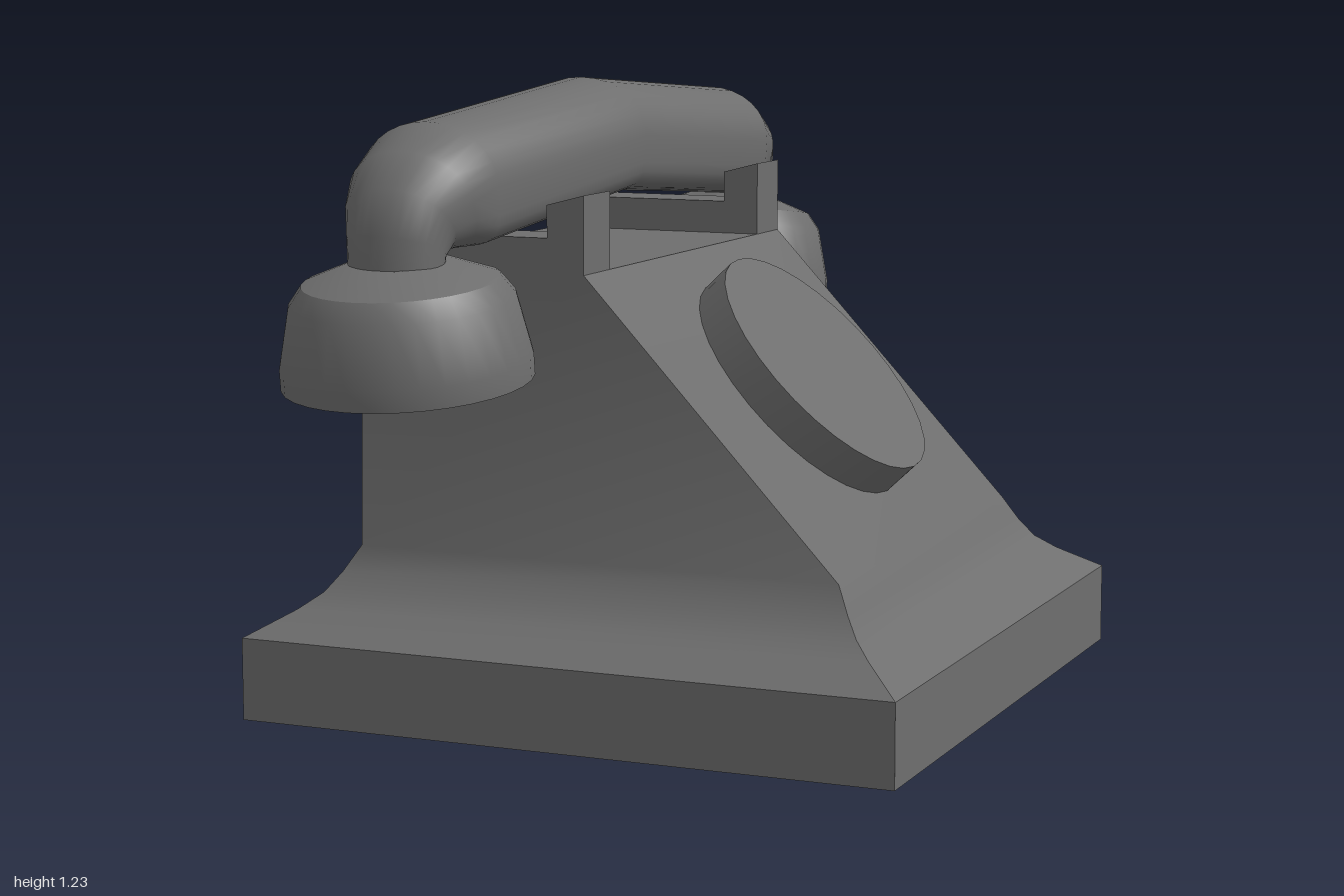
import * as THREE from 'three';
import { toCreasedNormals } from 'three/addons/utils/BufferGeometryUtils.js';

const HANDSET_X = -0.252;
const material = new THREE.MeshStandardMaterial({ color: 0x6e6e6e });

function part(name, geometry, crease = 0.6) {
  const mesh = new THREE.Mesh(toCreasedNormals(geometry, crease), material);
  mesh.name = name;
  return mesh;
}

// Skin a list of equal-length rings ([x, y, z] points) and close both ends.
function loft(rings) {
  const n = rings[0].length;
  const index = [];
  for (let i = 0; i < rings.length - 1; i++) {
    for (let j = 0; j < n; j++) {
      const k = (j + 1) % n;
      const a = i * n + j, b = i * n + k, c = a + n, d = b + n;
      index.push(a, b, d, a, d, c);
    }
  }
  const last = (rings.length - 1) * n;
  for (let j = 1; j < n - 1; j++) {
    index.push(0, j + 1, j, last, last + j, last + j + 1);
  }
  const geometry = new THREE.BufferGeometry();
  geometry.setAttribute('position', new THREE.Float32BufferAttribute(rings.flat(2), 3));
  geometry.setIndex(index);
  return geometry;
}

// Rectangular plinth, concave flare and wedge-shaped housing
function createHousing() {
  const levels = [ // y, min x, max x, half depth
    [0, -0.673, 0.673, 0.673],
    [0.163, -0.673, 0.673, 0.673],
    [0.212, -0.593, 0.593, 0.593],
    [0.242, -0.555, 0.555, 0.555],
    [0.28, -0.528, 0.528, 0.528],
    [0.33, -0.5, 0.5, 0.5],
    [0.883, -0.49, -0.017, 0.5],
  ];
  return part('housing', loft(levels.map(([y, x0, x1, z]) =>
    [[x1, y, z], [x1, y, -z], [x0, y, -z], [x0, y, z]])));
}

// Notched rest across the top of the housing
function createCradle(z) {
  const outline = [
    [-0.49, 0.86], [-0.017, 0.86], [-0.016, 1.034], [-0.093, 1.014],
    [-0.093, 0.951], [-0.41, 0.951], [-0.41, 1.014], [-0.488, 1.034],
  ];
  const shape = new THREE.Shape(outline.map(([x, y]) => new THREE.Vector2(x, y)));
  const mesh = part('cradle', new THREE.ExtrudeGeometry(shape, { depth: 0.12, bevelEnabled: false }));
  mesh.position.z = z;
  return mesh;
}

// Plain dial disc lying on the sloped face
function createDial() {
  const dial = part('dial', new THREE.CylinderGeometry(0.274, 0.274, 0.1, 32));
  const normal = new THREE.Vector3(0.727, 0.687, 0).normalize();
  dial.quaternion.setFromUnitVectors(new THREE.Vector3(0, 1, 0), normal);
  dial.position.set(0.285, 0.672, 0).addScaledVector(normal, -0.05);
  return dial;
}

// Handle with a rounded top and flattened underside, bent at the middle
// and curling down into round necks at both ends
function createHandle() {
  const half = [ // upper z, upper y, lower z, lower y, half width, flatness of underside
    [0.685, 1.178, 0.655, 0.946, 0.143, 1],
    [0.785, 1.13, 0.7, 0.944, 0.128, 0.7],
    [0.855, 1.067, 0.725, 0.94, 0.107, 0.35],
    [0.873, 0.98, 0.735, 0.925, 0.096, 0],
    [0.875, 0.91, 0.737, 0.91, 0.093, 0],
  ];
  const mirrored = half.map(([tz, ty, bz, by, w, f]) => [-tz, ty, -bz, by, w, f]).reverse();
  const sections = [...mirrored, [0, 1.23, 0, 1.0, 0.145, 1], ...half];
  const sides = 32;
  const rings = sections.map(([tz, ty, bz, by, w, flat]) =>
    Array.from({ length: sides }, (_, j) => {
      const a = (j / sides) * Math.PI * 2;
      const c = Math.cos(a), s = Math.sin(a);
      // Push the lower half out towards a rounded box
      const power = s < 0 ? 1 - 0.55 * flat : 1;
      const x = w * Math.sign(c) * Math.abs(c) ** power;
      const t = (1 + Math.sign(s) * Math.abs(s) ** power) / 2;
      return [x, by + (ty - by) * t, bz + (tz - bz) * t];
    }));
  return part('handle', loft(rings), 0.8);
}

// Hollow cup, cut flat on the side towards the housing
function createCup(name) {
  const profile = [ // radius, height, distance of the flat cut from the axis
    [0, 0.05, 0.12], [0.165, 0.05, 0.12], [0.185, 0, 0.12],
    [0.235, 0, 0.155], [0.235, 0.04, 0.155], [0.21, 0.155, 0.153],
    [0.184, 0.19, 0.127], [0.092, 0.225, 0.127], [0, 0.225, 0.127],
  ];
  const geometry = new THREE.LatheGeometry(
    profile.map(([r, y]) => new THREE.Vector2(r, y)), 32);
  const position = geometry.attributes.position;
  for (let i = 0; i < position.count; i++) {
    const cut = profile[i % profile.length][2];
    position.setZ(i, Math.max(position.getZ(i), -cut));
  }
  const cup = part(name, geometry, 0.5);
  cup.position.set(0, 0.706, 0.764);
  cup.rotation.x = 0.125;
  return cup;
}

function createHandset() {
  const handset = new THREE.Group();
  handset.name = 'handset';
  handset.add(createHandle());
  ['mouthpiece', 'earpiece'].forEach((name, i) => {
    const end = new THREE.Group();
    end.name = name + 'End';
    end.rotation.y = i * Math.PI;
    end.add(createCup(name));
    handset.add(end);
  });
  handset.position.x = HANDSET_X;
  return handset;
}

export function createModel() {
  const model = new THREE.Group();
  model.name = 'telephone';
  model.add(
    createHousing(),
    createCradle(0.38),
    createCradle(-0.5),
    createDial(),
    createHandset(),
  );
  return model;
}
